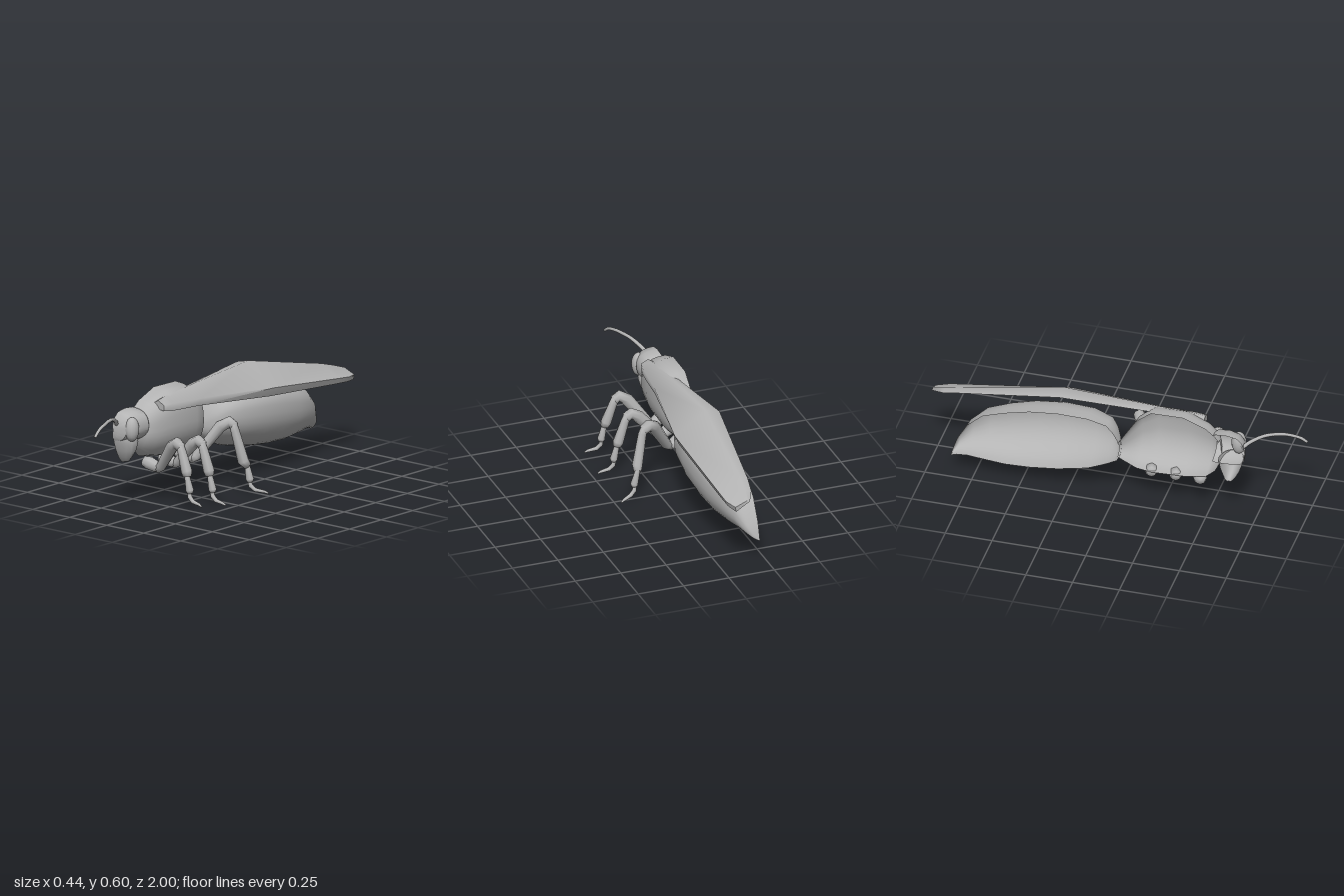
import * as THREE from 'three';
import { toCreasedNormals } from 'three/addons/utils/BufferGeometryUtils.js';

const CUT = -0.22; // the body is an open half shell, cut along this x plane
const grey = new THREE.MeshStandardMaterial({ color: 0xb4b4b4, side: THREE.DoubleSide });
grey.name = 'plain grey';

// Skin a list of rows of points; closed rows wrap around
function loft(rows, closed) {
  const n = rows[0].length;
  const index = [];
  for (let i = 0; i < rows.length - 1; i++) {
    for (let j = 0; j < (closed ? n : n - 1); j++) {
      const k = (j + 1) % n;
      const a = i * n + j, b = i * n + k, c = a + n, d = b + n;
      index.push(a, b, c, b, d, c);
    }
  }
  const geo = new THREE.BufferGeometry();
  geo.setAttribute('position', new THREE.Float32BufferAttribute(rows.flat(2), 3));
  geo.setIndex(index);
  geo.computeVertexNormals();
  return geo;
}

// Half shell from sections [z, top, bottom, width], front to back.
// waist: relative height of the widest line; roof: below 1 flattens the top
function halfShell(sections, waist, roof, steps = 16) {
  return loft(sections.map(([z, top, bottom, width]) => {
    const mid = bottom + (top - bottom) * waist;
    return Array.from({ length: steps + 1 }, (_, j) => {
      const t = Math.PI * j / steps;
      const s = Math.max(0, Math.sin(t)), c = Math.cos(t);
      return j < steps / 2
        ? [CUT + width * s ** roof, mid + (top - mid) * c ** roof, z]
        : [CUT + width * s, mid + (mid - bottom) * c, z];
    });
  }), false);
}

// Tapered tube through [x, y, z, radius] with closed ends
function limb(points, sides = 8) {
  const pts = points.map(p => new THREE.Vector3(p[0], p[1], p[2]));
  const rows = pts.map((p, i) => {
    const dir = pts[Math.min(i + 1, pts.length - 1)].clone().sub(pts[Math.max(i - 1, 0)]).normalize();
    const u = new THREE.Vector3(0, 0, 1).cross(dir);
    if (u.length() < 0.3) u.set(0, 1, 0).cross(dir);
    u.normalize();
    const v = dir.clone().cross(u);
    return Array.from({ length: sides }, (_, j) => {
      const t = 2 * Math.PI * j / sides;
      return p.clone().addScaledVector(u, points[i][3] * Math.cos(t))
        .addScaledVector(v, points[i][3] * Math.sin(t)).toArray();
    });
  });
  const cap = p => Array.from({ length: sides }, () => p.toArray());
  return loft([cap(pts[0]), ...rows, cap(pts[pts.length - 1])], true);
}

export function createModel() {
  const model = new THREE.Group();
  model.name = 'halfInsect';
  const add = (name, geo, parent = model) => {
    const mesh = new THREE.Mesh(geo, grey);
    mesh.name = name;
    parent.add(mesh);
    return mesh;
  };

  // Abdomen with a broad back and a drooping pointed tip
  add('abdomen', halfShell([
    [0.03, 0.34, 0.27, 0.04], [0.015, 0.375, 0.245, 0.085], [-0.005, 0.41, 0.235, 0.12],
    [-0.04, 0.45, 0.215, 0.155], [-0.14, 0.475, 0.17, 0.19], [-0.3, 0.478, 0.135, 0.205],
    [-0.45, 0.462, 0.117, 0.2], [-0.58, 0.43, 0.112, 0.183], [-0.7, 0.39, 0.122, 0.152],
    [-0.78, 0.318, 0.13, 0.112], [-0.84, 0.215, 0.125, 0.068], [-0.86, 0.155, 0.118, 0.035],
    [-0.87, 0.118, 0.112, 0.003],
  ], 0.58, 0.7));

  // Thorax with a flat roof and the narrow waist behind it
  add('thorax', halfShell([
    [0.56, 0.46, 0.32, 0.07], [0.54, 0.49, 0.28, 0.105], [0.49, 0.53, 0.235, 0.13],
    [0.37, 0.578, 0.215, 0.15], [0.2, 0.575, 0.208, 0.15], [0.12, 0.51, 0.22, 0.125],
    [0.07, 0.43, 0.245, 0.08], [0.02, 0.35, 0.27, 0.035],
  ], 0.5, 0.7));

  // Head
  const head = new THREE.Group();
  head.name = 'head';
  model.add(head);
  add('skull', toCreasedNormals(halfShell([
    [0.525, 0.495, 0.34, 0.1], [0.54, 0.505, 0.335, 0.112], [0.6, 0.51, 0.335, 0.115],
    [0.655, 0.5, 0.34, 0.1], [0.682, 0.475, 0.35, 0.08], [0.695, 0.44, 0.37, 0.035],
    [0.697, 0.42, 0.4, 0.005],
  ], 0.5, 0.8), 0.6), head);

  // Jaw sections [y, back z, front z, width], tapering downwards
  const jaw = [[0.37, 0.56, 0.69, 0.09], [0.345, 0.56, 0.685, 0.098], [0.30, 0.57, 0.67, 0.085],
    [0.26, 0.585, 0.65, 0.06], [0.235, 0.595, 0.63, 0.035], [0.228, 0.61, 0.62, 0.005]];
  add('jaw', loft(jaw.map(([y, back, front, width]) => Array.from({ length: 9 }, (_, j) => {
    const t = Math.PI * j / 8;
    return [CUT + width * Math.sin(t), y, (back + front) / 2 - (front - back) / 2 * Math.cos(t)];
  })), false), head);

  const eye = add('eye', new THREE.SphereGeometry(1, 14, 10), head);
  eye.scale.set(0.037, 0.064, 0.04);
  eye.position.set(-0.133, 0.42, 0.645);

  // Antenna curving forwards and outwards
  const curve = new THREE.CatmullRomCurve3([[-0.205, 0.44, 0.68], [-0.18, 0.47, 0.72], [-0.145, 0.498, 0.79],
    [-0.11, 0.5, 0.88], [-0.09, 0.48, 0.96], [-0.083, 0.455, 0.995]].map(p => new THREE.Vector3(...p)));
  add('antenna', limb(curve.getPoints(16).map((p, i) => [...p.toArray(), 0.011 - i * 0.0002])), head);

  // Folded wing: loops of inner edge, ridge, outer edge, lower edge and underside
  const wing = [
    [[-0.14, 0.525], [-0.115, 0.54], [-0.075, 0.52], [-0.075, 0.49], [-0.115, 0.495], 0.46],
    [[-0.15, 0.535], [-0.12, 0.55], [-0.065, 0.52], [-0.065, 0.482], [-0.115, 0.51], 0.4],
    [[-0.17, 0.55], [-0.13, 0.565], [-0.05, 0.51], [-0.055, 0.472], [-0.12, 0.53], 0.2],
    [[-0.22, 0.583], [-0.145, 0.6], [0.025, 0.483], [0.005, 0.436], [-0.13, 0.565], -0.29],
    [[-0.165, 0.47], [-0.125, 0.48], [-0.005, 0.42], [-0.015, 0.39], [-0.11, 0.445], -0.84],
    [[-0.15, 0.445], [-0.115, 0.455], [-0.01, 0.41], [-0.02, 0.383], [-0.1, 0.43], -0.93],
    [[-0.115, 0.425], [-0.1, 0.432], [-0.035, 0.405], [-0.04, 0.378], [-0.09, 0.41], -1],
  ].map(s => s.slice(0, 5).map(([x, y]) => [x, y, s[5]]));
  const flat = row => row.map(() => [0, 1, 2].map(k => row.reduce((sum, p) => sum + p[k], 0) / row.length));
  add('wing', toCreasedNormals(loft([flat(wing[0]), ...wing, flat(wing[6])], true), 1.3));

  // Legs: z at hip, knee, ankle and toe, knee height and foot height
  const legs = [
    ['frontLeg', 0.44, 0.485, 0.495, 0.505, 0.345, 0.045],
    ['middleLeg', 0.31, 0.315, 0.315, 0.315, 0.325, 0.015],
    ['hindLeg', 0.18, 0.065, 0.02, -0.025, 0.375, 0.012],
  ];
  for (const [name, hip, knee, ankle, toe, high, low] of legs) {
    const leg = new THREE.Group();
    leg.name = name;
    model.add(leg);
    add('hip', limb([[-0.212, 0.205, hip + 0.02, 0.026], [-0.18, 0.196, hip + 0.01, 0.036],
      [-0.14, 0.18, hip, 0.03], [-0.115, 0.182, hip, 0.022]]), leg);
    add('thigh', limb([[-0.135, 0.168, hip, 0.02], [-0.105, 0.19, hip * 0.9 + knee * 0.1, 0.026],
      [-0.005, high - 0.025, hip * 0.25 + knee * 0.75, 0.033], [0.035, high, knee, 0.03],
      [0.062, high - 0.02, knee, 0.027]]), leg);
    add('shin', limb([[0.05, high, knee, 0.022], [0.068, high - 0.04, knee, 0.023],
      [0.105, low + 0.16, (knee + ankle) / 2, 0.029], [0.112, low + 0.135, ankle, 0.022]]), leg);
    add('ankle', limb([[0.11, low + 0.15, ankle, 0.014], [0.115, low + 0.125, ankle, 0.015],
      [0.13, low + 0.065, ankle, 0.021], [0.132, low + 0.05, ankle, 0.014]]), leg);
    add('foot', limb([[0.125, low + 0.065, ankle, 0.011], [0.132, low + 0.03, ankle * 0.9 + toe * 0.1, 0.012],
      [0.155, low + 0.01, ankle * 0.7 + toe * 0.3, 0.011], [0.2, low + 0.003, ankle * 0.2 + toe * 0.8, 0.008],
      [0.218, low - 0.005, toe, 0.004]]), leg);
  }
  return model;
}
